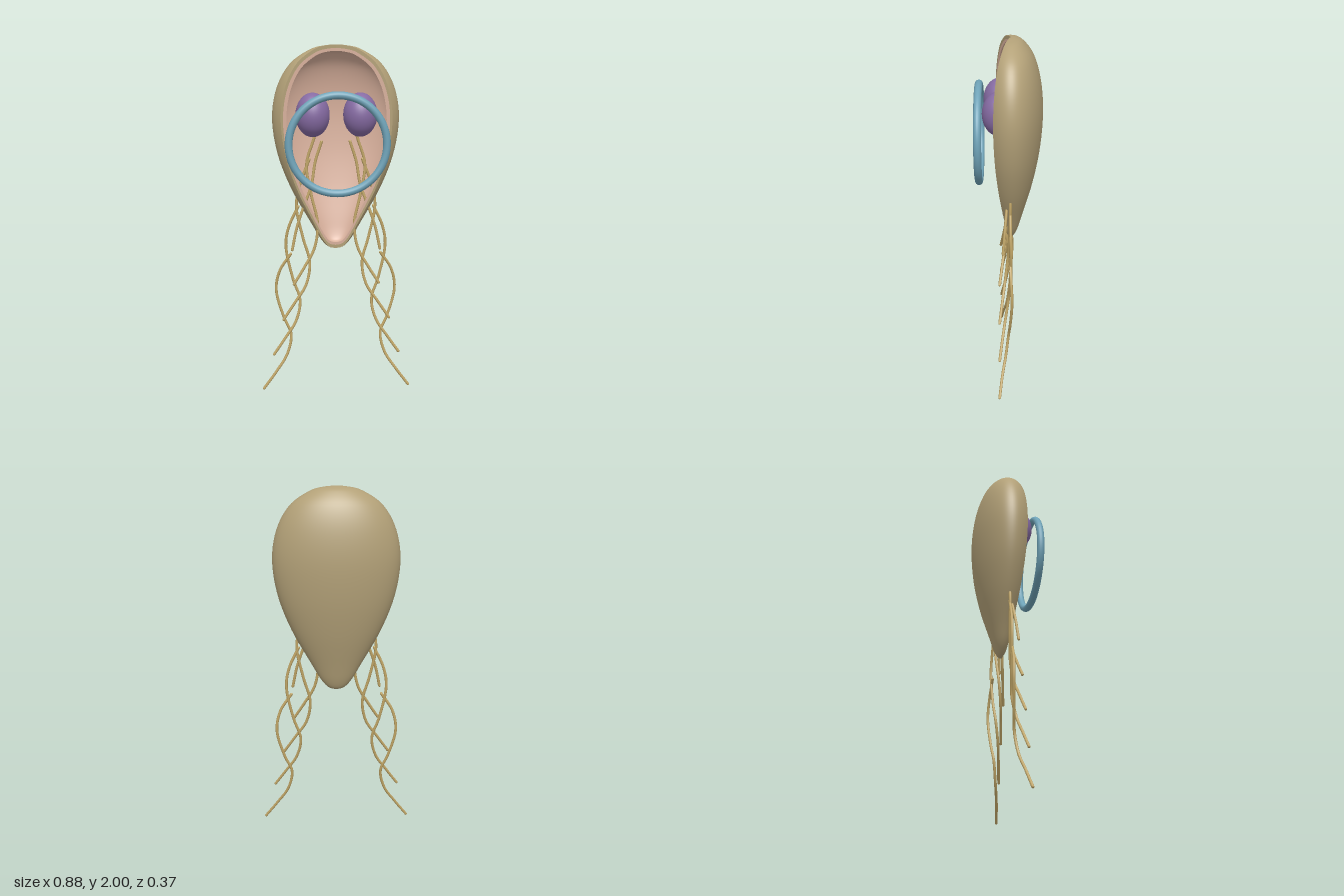
import * as THREE from 'three';

const mat = (name, color, side = THREE.FrontSide) => {
  const m = new THREE.MeshStandardMaterial({ color, side });
  m.name = name;
  return m;
};

export function createModel() {
  const model = new THREE.Group();
  const tan = mat('tan', 0xb3a178, THREE.DoubleSide);
  const pink = mat('pink', 0xd8b09c, THREE.DoubleSide);
  const purple = mat('purple', 0x866ba3);
  const blue = mat('blue', 0x6fa3b8);
  const straw = mat('straw', 0xc0a566);

  const add = (name, geometry, material, parent = model) => {
    const mesh = new THREE.Mesh(geometry, material);
    mesh.name = name;
    parent.add(mesh);
    return mesh;
  };

  // Pear-shaped shell: a lathe open by 120 degrees at the front, flattened in z
  const profile = new THREE.SplineCurve([
    [0, 0.85], [0.045, 0.863], [0.088, 0.91], [0.14, 1.0], [0.25, 1.2], [0.325, 1.4], [0.353, 1.6],
    [0.325, 1.77], [0.25, 1.9], [0.14, 1.975], [0.06, 1.996], [0, 2.0],
  ].map(([r, y]) => new THREE.Vector2(r, y))).getPoints(60);
  profile.forEach(p => { p.x = Math.max(0, p.x); });
  const shrink = (kr, ky) => profile.map(p => new THREE.Vector2(p.x * kr, 1.43 + (p.y - 1.43) * ky));
  const lip = shrink(0.96, 0.967);
  const inner = shrink(0.9, 0.94);

  const body = new THREE.Group();
  body.name = 'body';
  body.position.z = -0.01;
  body.scale.z = 0.497;
  model.add(body);
  const start = Math.PI / 3, sweep = Math.PI * 4 / 3;
  add('outerShell', new THREE.LatheGeometry(profile, 64, start, sweep), tan, body);
  add('innerShell', new THREE.LatheGeometry(inner, 64, start, sweep), pink, body);

  // Flat rim bands joining the two shells along both cut edges
  const band = (a, b, angle) => {
    const shape = new THREE.Shape([...a, ...[...b].reverse()]);
    return new THREE.ShapeGeometry(shape).rotateY(angle - Math.PI / 2);
  };
  for (const angle of [start, -start]) {
    add('outerRim', band(profile, lip, angle), tan, body);
    add('innerRim', band(lip, inner, angle), pink, body);
  }

  // Adhesive ring in front
  const ring = add('ring', new THREE.TorusGeometry(0.266, 0.021, 16, 80), blue);
  ring.position.set(0, 1.475, 0.162);

  // Wavy threads for one side: x, y, z points
  const threads = [
    [[0.26, 0.82, -0.01], [0.325, 0.72, -0.015], [0.348, 0.6, -0.02], [0.305, 0.43, -0.01],
      [0.265, 0.33, 0], [0.29, 0.21, 0.015], [0.355, 0.11, 0.035], [0.43, 0.01, 0.05]],
    [[0.215, 1.1, -0.01], [0.27, 0.98, -0.012], [0.288, 0.87, -0.015], [0.25, 0.67, -0.01],
      [0.21, 0.54, 0], [0.235, 0.42, 0.018], [0.3, 0.32, 0.035], [0.367, 0.225, 0.05]],
    [[0.15, 1.37, -0.01], [0.205, 1.22, -0.01], [0.225, 1.1, -0.01], [0.19, 0.92, -0.005],
      [0.152, 0.77, 0.005], [0.175, 0.64, 0.02], [0.24, 0.54, 0.035], [0.308, 0.44, 0.05]],
    [[0.07, 1.65, -0.01], [0.125, 1.48, -0.01], [0.165, 1.34, -0.01], [0.14, 1.17, 0],
      [0.105, 1.0, 0.01], [0.125, 0.86, 0.02], [0.185, 0.75, 0.035], [0.245, 0.655, 0.05]],
    [[0.08, 1.47, -0.01], [0.115, 1.36, -0.01], [0.14, 1.22, 0], [0.185, 1.1, 0.01],
      [0.225, 0.98, 0.02], [0.252, 0.855, 0.03]],
  ];

  for (const s of [1, -1]) {
    const side = s > 0 ? 'left' : 'right';

    // Oval nucleus
    const nucleus = add(side + 'Nucleus', new THREE.SphereGeometry(1, 40, 28), purple);
    nucleus.scale.set(0.094, 0.121, 0.095);
    nucleus.position.set(s * 0.131, 1.625, 0.046);

    // Trailing threads with closed ends
    threads.forEach((pts, i) => {
      const curve = new THREE.CatmullRomCurve3(pts.map(([x, y, z]) => new THREE.Vector3(s * x, y, z)));
      const thread = new THREE.Group();
      thread.name = `${side}Thread${i + 1}`;
      model.add(thread);
      add('strand', new THREE.TubeGeometry(curve, 60, 0.008, 8), straw, thread);
      for (const t of [0, 1]) {
        add('tip', new THREE.SphereGeometry(0.008, 8, 6), straw, thread).position.copy(curve.getPoint(t));
      }
    });
  }
  return model;
}
